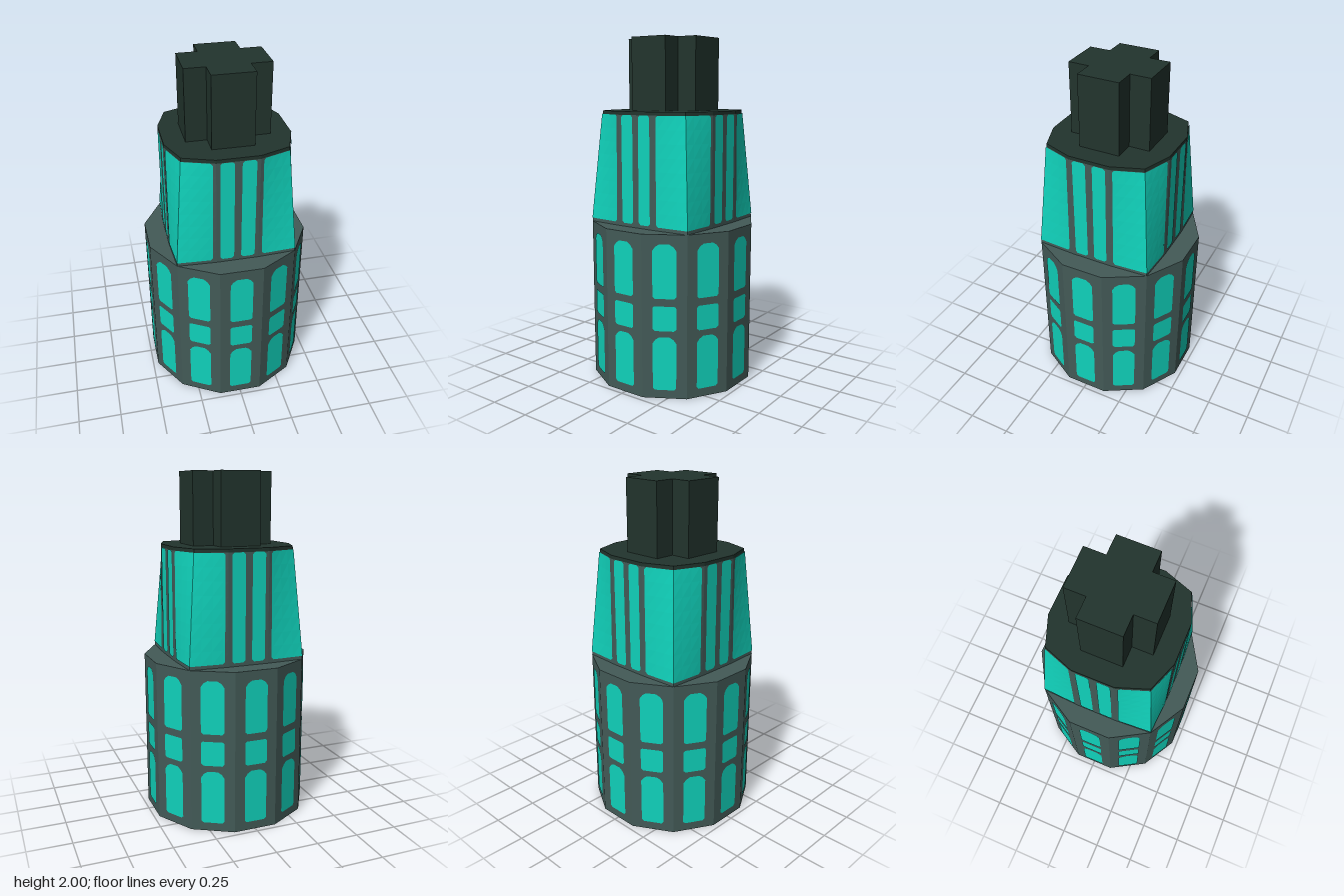
import * as THREE from 'three';

const mat = (name, color) => {
  const m = new THREE.MeshStandardMaterial({ color });
  m.name = name;
  return m;
};

const BASE_R = 0.485, BASE_H = 0.94;          // twelve-sided drum
const APOTHEM = BASE_R * Math.cos(Math.PI / 12);
const WALL_TOP = 1.57, ROOF_Y = 1.59;         // upper storey
const FACE = 0.355, HALF = 0.12, LOW = 0.343, HIGH = 0.292;

// Point on one side of the upper storey; |u| = 1 is the corner, |u| < HALF the flat middle
function facade(u, y, scale) {
  const corner = THREE.MathUtils.mapLinear(y, BASE_H, ROOF_Y, LOW, HIGH);
  const t = Math.max(0, (Math.abs(u) - HALF) / (1 - HALF));
  const x = t > 0 ? Math.sign(u) * (HALF + (corner - HALF) * t) : u;
  const z = FACE + (corner - FACE) * t;
  return [x * scale, y, z * scale];
}

// Vertical strips between columns [u, bottom, top]
function stripGeometry(cols, scale = 1, rows = 8) {
  const pos = [];
  for (let i = 0; i < cols.length - 1; i++) {
    for (let j = 0; j < rows; j++) {
      const at = ([u, lo, hi], k) => facade(u, lo + (hi - lo) * k / rows, scale);
      const a = at(cols[i], j), b = at(cols[i + 1], j);
      const c = at(cols[i + 1], j + 1), d = at(cols[i], j + 1);
      pos.push(...a, ...b, ...c, ...a, ...c, ...d);
    }
  }
  const g = new THREE.BufferGeometry();
  g.setAttribute('position', new THREE.Float32BufferAttribute(pos, 3));
  g.computeVertexNormals();
  return g;
}

const polygon = pts => new THREE.Shape(pts.map(p => new THREE.Vector2(...p)));

// Window outline with small lower corners and a larger bevel at the head
function windowShape(w, lo, hi, bevelX, bevelY) {
  const s = 0.012;
  return polygon([
    [-w + s, lo], [w - s, lo], [w, lo + s], [w, hi - bevelY],
    [w - bevelX * 0.4, hi - bevelY * 0.4], [w - bevelX, hi],
    [-w + bevelX, hi], [-w + bevelX * 0.4, hi - bevelY * 0.4], [-w, hi - bevelY], [-w, lo + s],
  ]);
}

export function createModel() {
  const stone = mat('grey stone', 0x435a57);
  const dark = mat('dark roof', 0x22342d);
  const glass = mat('turquoise glass', 0x10d2bb);

  const model = new THREE.Group();
  model.name = 'tower';
  const add = (parent, name, geometry, material) => {
    const m = new THREE.Mesh(geometry, material);
    m.name = name;
    parent.add(m);
    return m;
  };

  // Drum base
  const drum = new THREE.CylinderGeometry(BASE_R, BASE_R, BASE_H, 12, 1, false, Math.PI / 12)
    .translate(0, BASE_H / 2, 0).toNonIndexed();
  drum.computeVertexNormals();
  add(model, 'base', drum, [stone, stone, dark]);

  // Three windows on every face of the drum
  const windows = [
    ['lowerWindow', windowShape(0.066, 0.05, 0.36, 0.038, 0.036)],
    ['middleWindow', windowShape(0.066, 0.395, 0.537, 0.01, 0.01)],
    ['upperWindow', windowShape(0.066, 0.58, 0.886, 0.038, 0.036)],
  ].map(([name, shape]) => [name, new THREE.ShapeGeometry(shape).translate(0, 0, APOTHEM + 0.003)]);
  for (let i = 0; i < 12; i++) {
    const column = new THREE.Group();
    column.name = 'windowColumn';
    column.rotation.y = i * Math.PI / 6;
    windows.forEach(([name, g]) => add(column, name, g, glass));
    model.add(column);
  }

  // Upper storey: wall, cornice and panes for one side, repeated four times
  const span = (us, lo, hi) => us.map(u => [u, lo, hi]);
  const edges = [-1, -0.7, -0.4, -HALF, HALF, 0.4, 0.7, 1];
  const wall = stripGeometry(span(edges, BASE_H, WALL_TOP));
  const cornice = stripGeometry(span(edges, WALL_TOP, ROOF_Y), 1, 1);
  const lo = 0.96, hi = WALL_TOP, r = 0.012;
  const narrow = sign => {
    const us = sign > 0 ? [0.02, 0.032, 0.086, 0.098] : [-0.098, -0.086, -0.032, -0.02];
    return stripGeometry(us.map((u, i) => i % 3 ? [u, lo, hi] : [u, lo + r, hi - r]), 1.008);
  };
  const corner = sign => {
    const cols = [0.2, 0.25, 0.5, 0.75, 1].map((u, i) =>
      i ? [sign * u, lo, hi] : [sign * u, lo + r, hi - r]);
    return stripGeometry(sign > 0 ? cols : cols.reverse(), 1.008);
  };
  const panes = [1, -1].flatMap(s => [['narrowPane', narrow(s)], ['cornerPane', corner(s)]]);
  for (let i = 0; i < 4; i++) {
    const side = new THREE.Group();
    side.name = 'upperSide';
    side.rotation.y = i * Math.PI / 2;
    add(side, 'upperWall', wall, stone);
    add(side, 'cornice', cornice, dark);
    panes.forEach(([name, g]) => add(side, name, g, glass));
    model.add(side);
  }

  // Flat roof
  const quarter = [[FACE, -HALF], [FACE, HALF], [HIGH, HIGH]];
  const turn = (pts, n) => pts.map(([x, y]) => [[x, y], [-y, x], [-x, -y], [y, -x]][n]);
  const ring = pts => polygon([0, 1, 2, 3].flatMap(n => turn(pts, n)));
  add(model, 'roof', new THREE.ShapeGeometry(ring(quarter)).rotateX(-Math.PI / 2).translate(0, ROOF_Y, 0), dark);

  // Cross-shaped turret
  const A = 0.237, B = 0.118;
  const cross = new THREE.ExtrudeGeometry(ring([[A, -B], [A, B], [B, B]]),
    { depth: 2 - ROOF_Y, bevelEnabled: false });
  add(model, 'turret', cross.rotateX(-Math.PI / 2).translate(0, ROOF_Y, 0), dark);

  return model;
}
